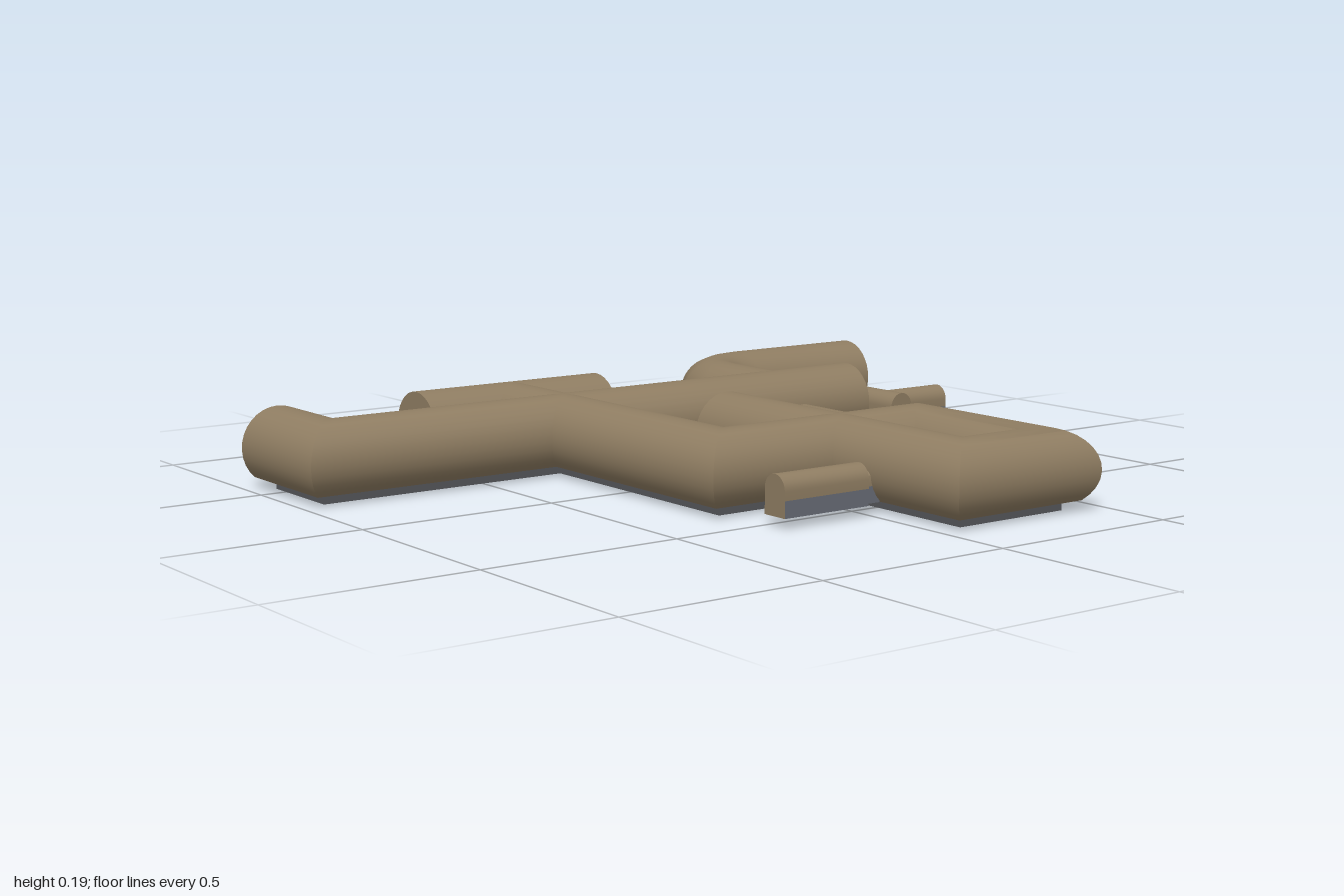
import * as THREE from 'three';
import { toCreasedNormals } from 'three/addons/utils/BufferGeometryUtils.js';

const FLOOR = 0.025;

// Sweeps an outline of [side, height] points along a ground path of [x, z] points with
// mitred corners; a convex cap polygon closes both ends.
function sweep(outline, path, cap = null) {
  const dirs = path.slice(1).map((p, i) => {
    const dx = p[0] - path[i][0], dz = p[1] - path[i][1], l = Math.hypot(dx, dz);
    return [dz / l, -dx / l];
  });
  const place = (k, [u, y]) => {
    const a = dirs[Math.max(k - 1, 0)], b = dirs[Math.min(k, dirs.length - 1)];
    const m = u / (1 + a[0] * b[0] + a[1] * b[1]);
    return [path[k][0] + (a[0] + b[0]) * m, y, path[k][1] + (a[1] + b[1]) * m];
  };
  const pos = [];
  const tri = (...corners) => corners.forEach((c) => pos.push(...c));
  for (let k = 0; k < path.length - 1; k++) {
    for (let i = 0; i < outline.length - 1; i++) {
      const a = place(k, outline[i]), b = place(k, outline[i + 1]);
      const c = place(k + 1, outline[i + 1]), d = place(k + 1, outline[i]);
      tri(a, b, c);
      tri(a, c, d);
    }
  }
  if (cap) {
    const end = path.length - 1;
    for (let i = 1; i < cap.length - 1; i++) {
      tri(place(end, cap[0]), place(end, cap[i]), place(end, cap[i + 1]));
      tri(place(0, cap[0]), place(0, cap[i + 1]), place(0, cap[i]));
    }
  }
  const geo = new THREE.BufferGeometry();
  geo.setAttribute('position', new THREE.Float32BufferAttribute(pos, 3));
  return toCreasedNormals(geo, 0.6);
}

// Counter-clockwise arc of [side, height] points
function arc(radius, cy, from, to, steps) {
  return Array.from({ length: steps + 1 }, (_, i) => {
    const t = from + ((to - from) * i) / steps;
    return [radius * Math.cos(t), cy + radius * Math.sin(t)];
  });
}

// Moves one end of a path inwards
function trimStart(path, d) {
  const [[x, z], [x2, z2]] = path;
  const l = Math.hypot(x2 - x, z2 - z);
  return [[x + ((x2 - x) * d) / l, z + ((z2 - z) * d) / l], ...path.slice(1)];
}

export function createModel() {
  const model = new THREE.Group();
  const earth = new THREE.MeshStandardMaterial({ color: 0x8f7d62 });
  earth.name = 'earth brown';
  const floorGrey = new THREE.MeshStandardMaterial({ color: 0x55565a });
  floorGrey.name = 'floor grey';
  const wallGrey = new THREE.MeshStandardMaterial({ color: 0x686c76 });
  wallGrey.name = 'wall grey';

  const add = (group, name, geo, mat) => {
    const mesh = new THREE.Mesh(geo, mat);
    mesh.name = name;
    group.add(mesh);
  };
  const newGroup = (name) => {
    const g = new THREE.Group();
    g.name = name;
    model.add(g);
    return g;
  };

  // Large round tunnel: vault, flat floor and a narrow trench beneath it
  const R = 0.098, CY = 0.097;
  const low = Math.asin((FLOOR - CY) / R);
  const vault = arc(R, CY, low, Math.PI - low, 24);
  const half = vault[0][0];
  const trench = [[-0.034, 0.028], [-0.034, 0], [0.034, 0], [0.034, 0.028]];
  const tunnel = (name, path, trimA, trimB) => {
    const g = newGroup(name);
    add(g, 'vault', sweep(vault, path, vault), earth);
    add(g, 'floor', sweep([[-half, FLOOR], [half, FLOOR]], path), floorGrey);
    let p = trimA ? trimStart(path, 0.05) : path;
    if (trimB) p = trimStart([...p].reverse(), 0.05);
    add(g, 'trench', sweep(trench, p, trench), floorGrey);
  };

  tunnel('mainTunnel', [[-0.9, -0.6], [-0.9, -0.34], [0.69, -0.34]], true, true);
  tunnel('loopTunnel', [[-0.24, -0.59], [-0.24, 0.32], [0.36, 0.32], [0.36, 0.75],
    [0.11, 0.75], [0.11, -0.12]], false, true);
  tunnel('backChamber', [[-0.52, -0.59], [0.03, -0.59]], true, true);
  const bend = Array.from({ length: 5 }, (_, i) => {
    const t = (i * Math.PI) / 8;
    return [0.6 - 0.17 * Math.cos(t), -0.535 - 0.17 * Math.sin(t)];
  });
  tunnel('curvedTunnel', [[0.43, -0.34], ...bend, [1, -0.705]], false, true);

  // Small arched passage: brown arch above grey side walls
  const passage = (name, path, w = 0.036, top = 0.122) => {
    const g = newGroup(name);
    const split = 0.065;
    const arch = [[w, split], ...arc(w, top - w, 0, Math.PI, 12), [-w, split]];
    const section = [[-w, FLOOR], [w, FLOOR], ...arch];
    add(g, 'arch', sweep(arch, path, section), earth);
    add(g, 'leftWall', sweep([[w, FLOOR], [w, split]], path), wallGrey);
    add(g, 'rightWall', sweep([[-w, split], [-w, FLOOR]], path), wallGrey);
    add(g, 'floor', sweep([[-w, FLOOR], [w, FLOOR]], path), floorGrey);
  };
  passage('backPassage', [[-0.24, -0.86], [-0.24, -0.72]]);
  passage('frontPassage', [[-0.255, 0.535], [-0.01, 0.535]]);
  passage('sidePassage', [[0.765, -0.58], [0.765, -0.195]]);
  passage('sideBranch', [[0.765, -0.255], [0.95, -0.255]]);
  passage('middlePassage', [[0.43, -0.205], [0.43, 0.105]]);
  passage('middleBranch', [[0.235, 0.105], [0.495, 0.105]]);
  passage('middleNook', [[0.365, -0.022], [0.43, -0.022]]);

  // Narrow doorways joining the passages to the tunnels
  const doorways = [
    [[-0.24, -0.73], [-0.24, -0.67]],
    [[-0.02, 0.535], [0.04, 0.535]],
    [[0.765, -0.63], [0.765, -0.57]],
    [[0.43, -0.27], [0.43, -0.195]],
    [[0.18, 0.105], [0.245, 0.105]],
  ];
  doorways.forEach((path) => passage('doorway', path, 0.016, 0.1));

  return model;
}
